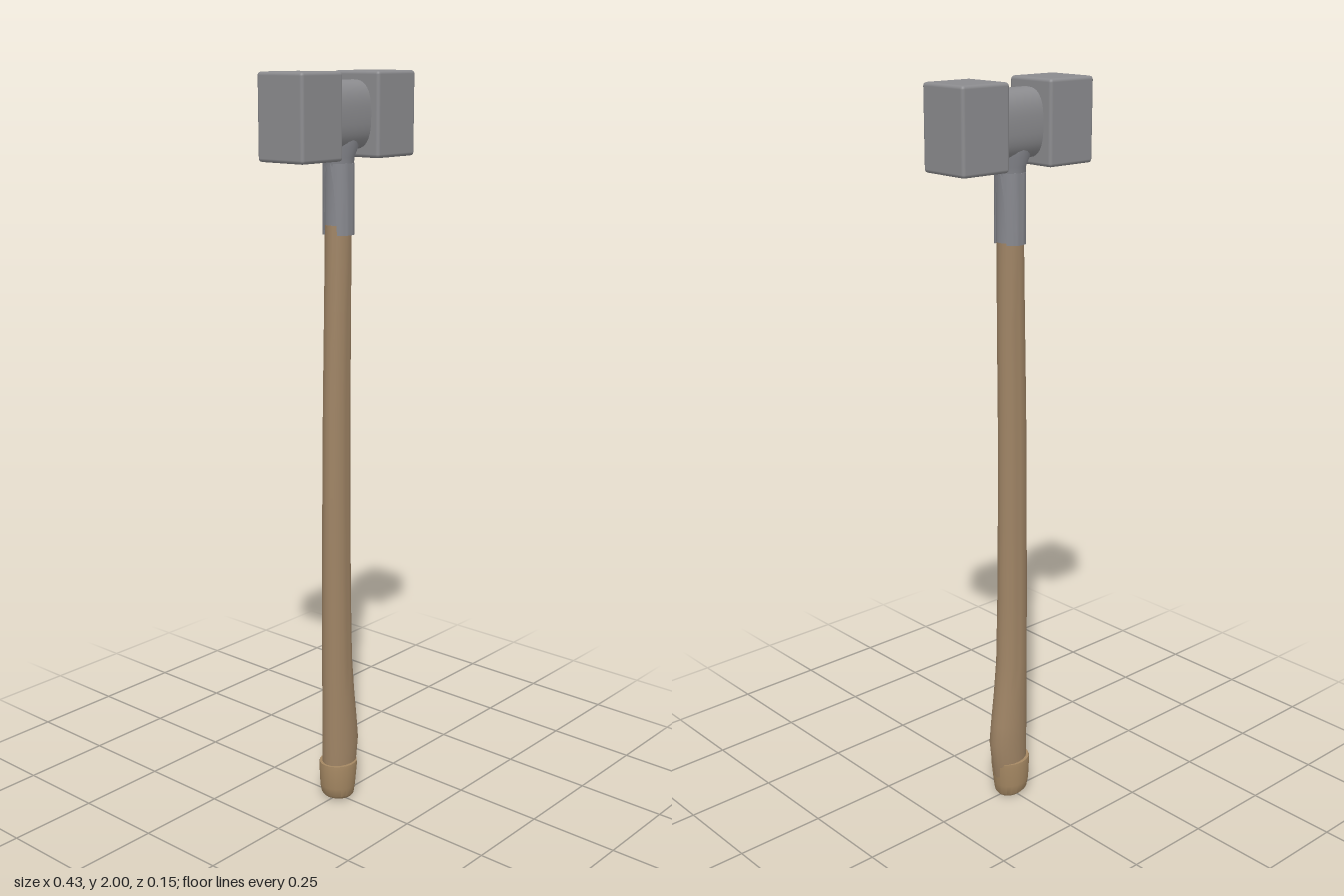
import * as THREE from 'three';
import { toCreasedNormals } from 'three/addons/utils/BufferGeometryUtils.js';
import { RoundedBoxGeometry } from 'three/addons/geometries/RoundedBoxGeometry.js';

// Skin closed rings (listed bottom to top) and cap both ends
function loft(rings) {
  const n = rings[0].length, pos = [], index = [];
  rings.forEach(r => r.forEach(p => pos.push(...p)));
  for (let j = 0; j < rings.length - 1; j++) {
    for (let i = 0; i < n; i++) {
      const a = j * n + i, b = j * n + (i + 1) % n;
      index.push(a, a + n, b, b, a + n, b + n);
    }
  }
  [0, rings.length - 1].forEach((j, end) => {
    const c = pos.length / 3;
    pos.push(...[0, 1, 2].map(k => rings[j].reduce((s, p) => s + p[k], 0) / n));
    for (let i = 0; i < n; i++) {
      const a = j * n + i, b = j * n + (i + 1) % n;
      index.push(c, ...(end ? [b, a] : [a, b]));
    }
  });
  const g = new THREE.BufferGeometry();
  g.setAttribute('position', new THREE.Float32BufferAttribute(pos, 3));
  g.setIndex(index);
  return toCreasedNormals(g, 0.6);
}

// Oval ring from [y, xMin, xMax, zHalf, tilt]
function oval([y, x0, x1, rz, tilt = 0]) {
  return Array.from({ length: 20 }, (_, i) => {
    const t = i / 20 * Math.PI * 2;
    const c = Math.cos(t);
    return [(x0 + x1) / 2 + c * (x1 - x0) / 2, y - c * tilt, Math.sin(t) * rz];
  });
}

export function createModel() {
  const steel = new THREE.MeshStandardMaterial({ name: 'steel', color: 0x8b8b8e });
  const socketSteel = new THREE.MeshStandardMaterial({ name: 'socket steel', color: 0x87888e });
  const wood = new THREE.MeshStandardMaterial({ name: 'wood', color: 0x9f8465 });
  const capWood = new THREE.MeshStandardMaterial({ name: 'cap wood', color: 0xa58863 });

  const model = new THREE.Group();
  model.name = 'sledgehammer';
  const add = (name, geometry, material, parent = model) => {
    const m = new THREE.Mesh(geometry, material);
    m.name = name;
    parent.add(m);
    return m;
  };

  // Head: two heavy blocks, with short necks to a rounded collar
  const head = new THREE.Group();
  head.name = 'head';
  head.position.y = 1.8925;
  model.add(head);
  for (const s of [-1, 1]) {
    add(s > 0 ? 'leftBlock' : 'rightBlock',
      new RoundedBoxGeometry(0.15, 0.215, 0.15, 2, 0.009), steel, head).position.x = s * 0.142;
  }
  const barrel = (name, length, ry, rz) => {
    const pts = Array.from({ length: 40 }, (_, i) => {
      const t = i / 40 * Math.PI * 2, c = Math.cos(t), d = Math.sin(t);
      return new THREE.Vector2(Math.sign(c) * Math.abs(c) ** 0.75 * rz, Math.sign(d) * Math.abs(d) ** 0.75 * ry);
    });
    const g = new THREE.ExtrudeGeometry(new THREE.Shape(pts), { depth: length, bevelEnabled: false });
    g.translate(0, 0, -length / 2).rotateY(Math.PI / 2);
    add(name, toCreasedNormals(g, 0.6), steel, head);
  };
  barrel('collar', 0.114, 0.086, 0.06);
  barrel('necks', 0.16, 0.064, 0.047);

  // Socket below the head, with a langet down the front and back
  add('socket', loft([
    [1.6, -0.036, 0.036, 0.035], [1.75, -0.037, 0.037, 0.037], [1.765, -0.039, 0.039, 0.04],
    [1.79, -0.04, 0.04, 0.041], [1.815, -0.052, 0.052, 0.05], [1.85, -0.052, 0.052, 0.05],
  ].map(oval)), socketSteel);
  for (const s of [-1, 1]) {
    const rings = [[1.595, 0.98], [1.64, 1.05], [1.72, 1.2], [1.75, 1.33], [1.775, 1.45]].map(([y, half]) =>
      Array.from({ length: 13 }, (_, i) => {
        const t = s * Math.PI / 2 + (i / 6 - 1) * half;
        return [Math.cos(t) * 0.039, y, Math.sin(t) * 0.042];
      }));
    add(s > 0 ? 'frontLanget' : 'backLanget', loft(rings), socketSteel);
  }

  // Handle: a slightly bowed shaft that swells on one side near the grip end
  add('handle', loft([
    [0.03, -0.047, 0.046, 0.038], [0.1, -0.05, 0.058, 0.042], [0.17, -0.051, 0.067, 0.043],
    [0.23, -0.051, 0.061, 0.042], [0.32, -0.051, 0.05, 0.04], [0.42, -0.052, 0.041, 0.038],
    [0.6, -0.052, 0.037, 0.036], [0.9, -0.051, 0.034, 0.034], [1.15, -0.048, 0.034, 0.033],
    [1.4, -0.042, 0.036, 0.033], [1.62, -0.037, 0.035, 0.033],
  ].map(oval)), wood);

  // End cap; the swell of the shaft breaks through its left side
  add('endCap', loft([
    [0.018, -0.03, 0.028, 0.026, 0.003], [0.009, -0.032, 0.03, 0.028, 0.004],
    [0.005, -0.042, 0.038, 0.036, 0.005], [0.014, -0.05, 0.044, 0.044, 0.006],
    [0.04, -0.055, 0.048, 0.048, 0.004], [0.1, -0.058, 0.056, 0.051, 0.002], [0.112, -0.057, 0.056, 0.05, 0.002],
  ].map(oval)), capWood);

  return model;
}
